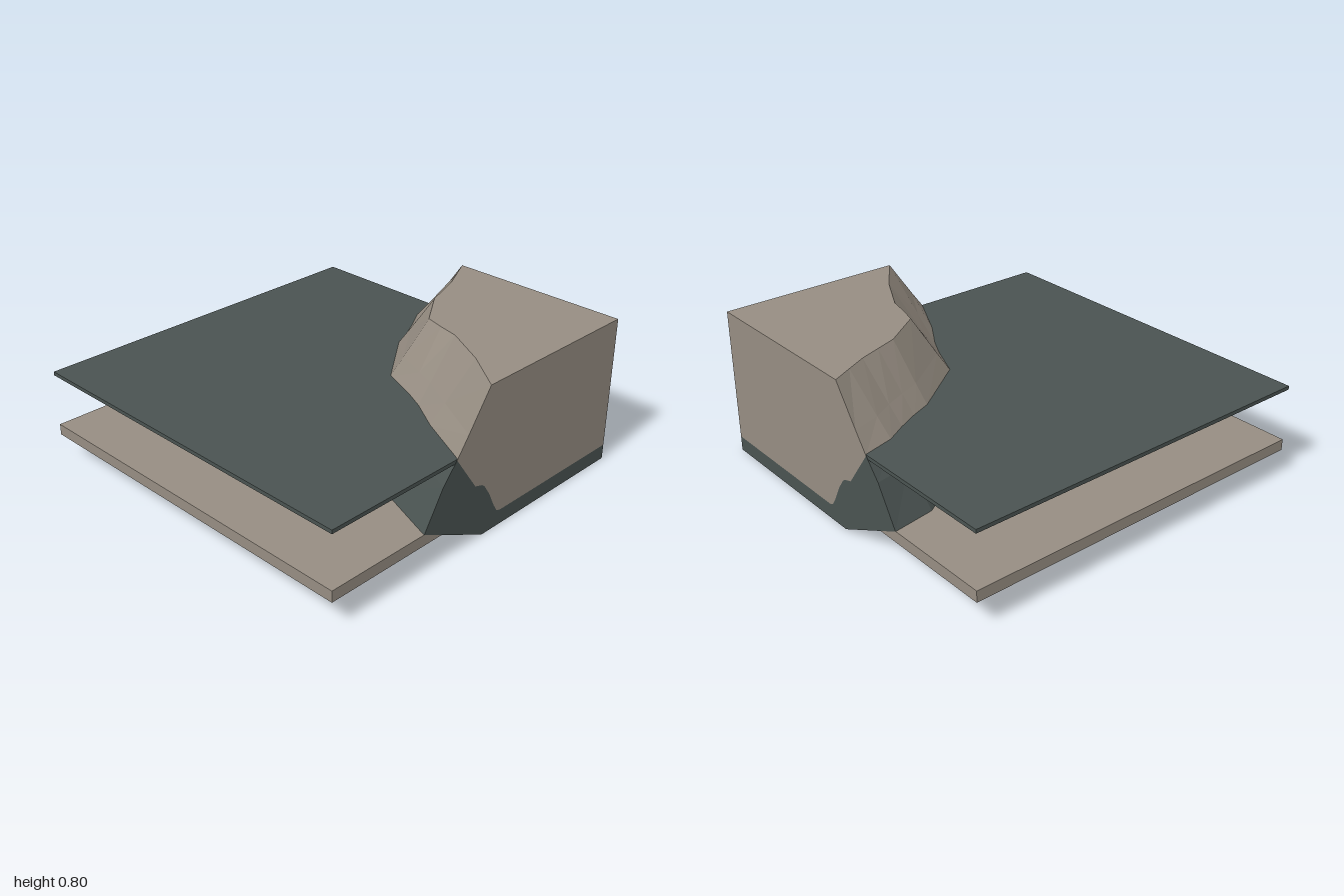
import * as THREE from 'three';

// Cliff outline as [top x, top z, mid-height x, mid-height z]
const OUTLINE = [
  [1, 0, 1, -0.21],
  [0.89, 0.055, 0.83, -0.165],
  [0.78, 0.11, 0.72, -0.1],
  [0.665, 0.15, 0.61, -0.045],
  [0.55, 0.19, 0.5, 0],
  [0.34, 0.335, 0.18, 0.235],
  [0.31, 0.44, 0.1, 0.43],
  [0.285, 0.55, 0.045, 0.54],
  [0.16, 0.78, -0.06, 0.705],
  [0, 1, -0.21, 1],
];

// Cliff profile as [height, bulge], where bulge 1 is the mid-height outline
const LOWER = [[0, 0], [0.2, 2], [0.4, 1.43], [0.5, 1.02]];
const UPPER = [[0.5, 1.02], [0.6, 0.67], [0.8, 0]];

// Border between wet and dry rock on the cut walls, as [distance, height]
const TIDE = [
  [-0.07, 0.3], [-0.02, 0.285], [0.0, 0.27], [0.04, 0.21],
  [0.08, 0.13], [0.105, 0.09], [0.13, 0.08], [1, 0.08],
];

// Faceted slope lofted along the outline through the given profile
function slopeGeometry(profile) {
  const point = (i, j) => {
    const [tx, tz, mx, mz] = OUTLINE[i];
    const [y, k] = profile[j];
    return [tx + (mx - tx) * k, y, tz + (mz - tz) * k];
  };
  const positions = [];
  for (let i = 0; i < OUTLINE.length - 1; i++) {
    for (let j = 0; j < profile.length - 1; j++) {
      const a = point(i, j), b = point(i + 1, j);
      const c = point(i + 1, j + 1), d = point(i, j + 1);
      positions.push(...a, ...b, ...c, ...a, ...c, ...d);
    }
  }
  const geometry = new THREE.BufferGeometry();
  geometry.setAttribute('position', new THREE.Float32BufferAttribute(positions, 3));
  geometry.computeVertexNormals();
  return geometry;
}

function flatGeometry(points) {
  return new THREE.ShapeGeometry(new THREE.Shape(points.map(([x, y]) => new THREE.Vector2(x, y))));
}

export function createModel() {
  const model = new THREE.Group();
  const dryRock = new THREE.MeshStandardMaterial({ color: 0x968d82, side: THREE.DoubleSide });
  dryRock.name = 'dry rock';
  const wetRock = new THREE.MeshStandardMaterial({ color: 0x4a5351, side: THREE.DoubleSide });
  wetRock.name = 'dark slate';

  const add = (name, geometry, material, parent = model) => {
    const mesh = new THREE.Mesh(geometry, material);
    mesh.name = name;
    parent.add(mesh);
    return mesh;
  };

  // Ground slab and water sheet, a hair inside the cut walls
  add('groundSlab', new THREE.BoxGeometry(1.997, 0.06, 1.997), dryRock).position.y = 0.17;
  add('waterSheet', new THREE.BoxGeometry(1.997, 0.02, 1.997), wetRock).position.y = 0.495;

  // Cliff slopes above and below the water
  add('upperSlope', slopeGeometry(UPPER), dryRock);
  add('lowerSlope', slopeGeometry(LOWER), wetRock);

  // Flat cliff top
  const rim = OUTLINE.map(([x, z]) => [x, -z]);
  const top = add('cliffTop', flatGeometry([...rim, [1, -1]]), dryRock);
  top.rotation.x = -Math.PI / 2;
  top.position.y = 0.8;

  // Two cut walls, open underneath, each split along the tide line
  const edge = (profile) => profile.map(([y, k]) => [-0.21 * k, y]);
  const dry = [...edge(UPPER).reverse(), ...TIDE, [1, 0.8]];
  const wet = [...edge(LOWER), ...TIDE, [1, 0]];
  for (const [name, sign] of [['frontWall', 1], ['sideWall', -1]]) {
    const wall = new THREE.Group();
    wall.name = name;
    const place = (points) => flatGeometry(points.map(([x, y]) => [x * sign, y]));
    add(name + 'Dry', place(dry), dryRock, wall);
    add(name + 'Wet', place(wet), wetRock, wall);
    if (sign > 0) {
      wall.position.z = 1;
    } else {
      wall.rotation.y = Math.PI / 2;
      wall.position.x = 1;
    }
    model.add(wall);
  }
  return model;
}
